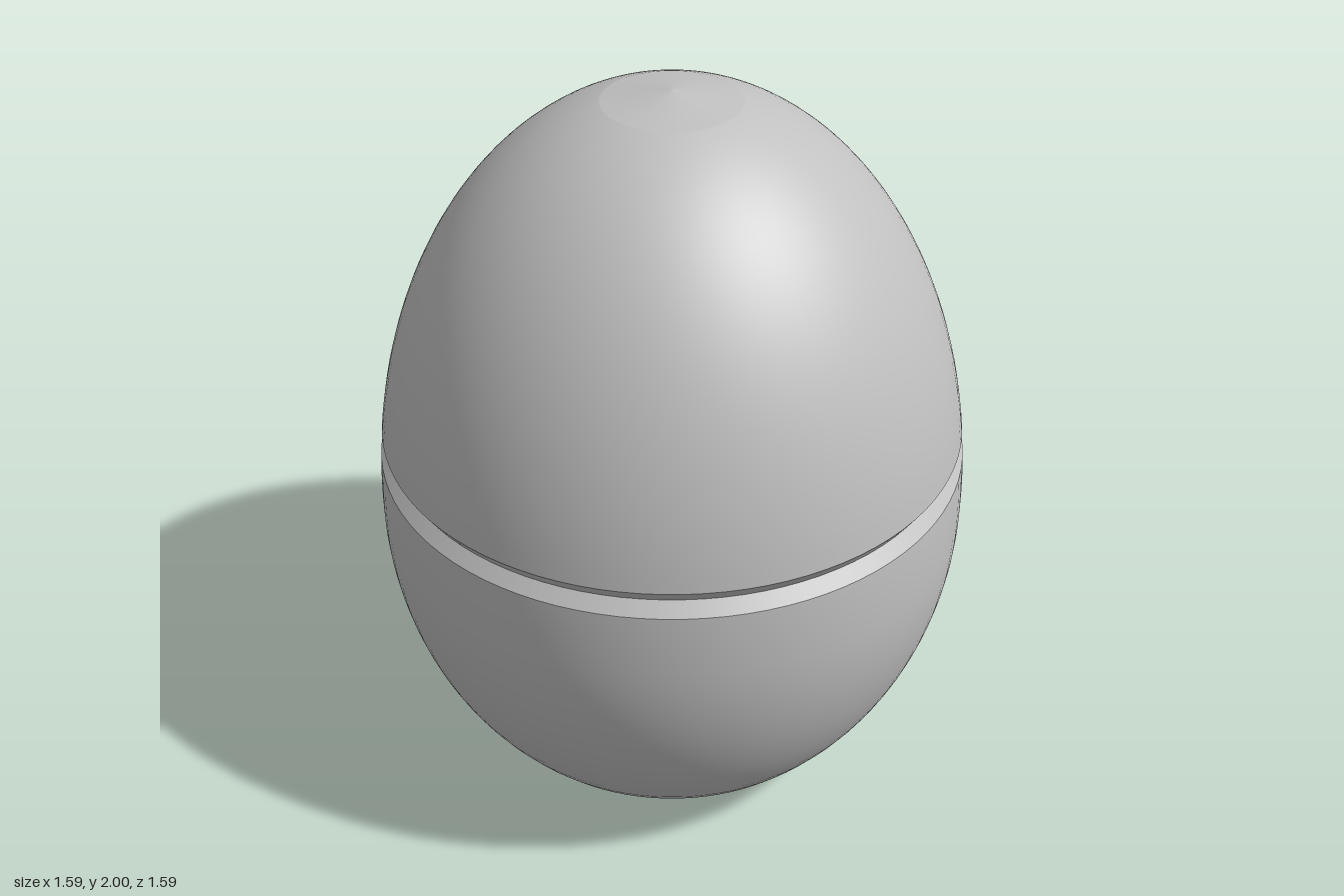
import * as THREE from 'three';

const SEGMENTS = 96;
const MID_Y = 0.82; // height of the widest ring
const MID_R = 0.795;

// radius of the egg at a given height: blunt below, longer above
function eggRadius(y) {
  if (y < MID_Y) return MID_R * Math.sqrt(1 - ((MID_Y - y) / 0.934) ** 2);
  return MID_R * Math.sqrt(1 - ((y - MID_Y) / 1.18) ** 2.08);
}

// profile points between two heights, closer together towards the end
function eggProfile(y0, y1, steps) {
  const points = [];
  for (let i = 0; i <= steps; i++) {
    const y = y0 + (y1 - y0) * Math.sin((i / steps) * Math.PI / 2);
    points.push(new THREE.Vector2(eggRadius(y), y));
  }
  return points;
}

export function createModel() {
  const group = new THREE.Group();
  group.name = 'egg';
  const shell = new THREE.MeshStandardMaterial({ color: 0xc0c0c0 });
  shell.name = 'light grey shell';

  const addLathe = (name, points) => {
    const mesh = new THREE.Mesh(new THREE.LatheGeometry(points, SEGMENTS), shell);
    mesh.name = name;
    group.add(mesh);
  };
  const v = (r, y) => new THREE.Vector2(r, y);

  // flat base and lower shell
  addLathe('base', [v(0, 0), v(eggRadius(0), 0)]);
  addLathe('lowerShell', eggProfile(0, 1, 32));

  // V-shaped groove between the halves
  addLathe('lowerBevel', [v(eggRadius(1), 1), v(0.757, 1.035)]);
  addLathe('upperBevel', [v(0.757, 1.035), v(eggRadius(1.07), 1.07)]);

  // upper shell closing in a shallow cone at the tip
  const upper = eggProfile(1.07, 1.972, 32);
  upper.push(v(0, 2));
  addLathe('upperShell', upper);

  return group;
}
